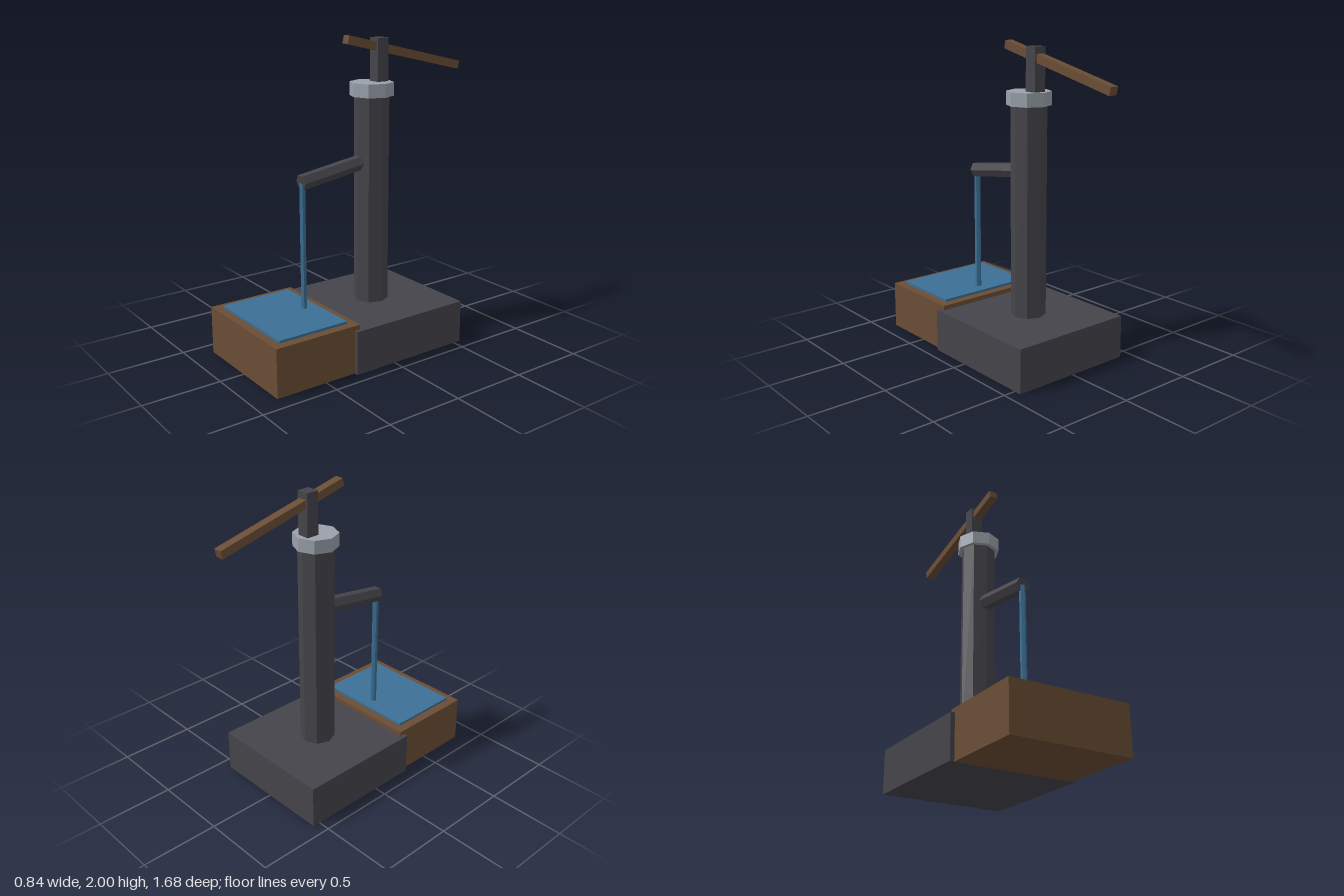
import * as THREE from 'three';

const material = (name, color) => {
  const m = new THREE.MeshStandardMaterial({ color, flatShading: true });
  m.name = name;
  return m;
};

export function createModel() {
  const iron = material('dark iron', 0x45444a);
  const steel = material('pale steel', 0x9aa1ab);
  const wood = material('brown wood', 0x6b4d35);
  const blue = material('water blue', 0x3c7096);

  const model = new THREE.Group();
  model.name = 'handPump';

  const add = (name, geometry, mat, x, y, z) => {
    const mesh = new THREE.Mesh(geometry, mat);
    mesh.name = name;
    mesh.position.set(x, y, z);
    model.add(mesh);
    return mesh;
  };
  // Box given by its width and its y and z ranges
  const block = (name, mat, w, y0, y1, z0, z1) =>
    add(name, new THREE.BoxGeometry(w, y1 - y0, z1 - z0), mat, 0, (y0 + y1) / 2, (z0 + z1) / 2);
  // Upright faceted cylinder given by its y range
  const pillar = (name, mat, r, sides, y0, y1, z) =>
    add(name, new THREE.CylinderGeometry(r, r, y1 - y0, sides), mat, 0, (y0 + y1) / 2, z);

  // Plinth, trough and water surface
  block('base', iron, 0.84, 0, 0.28, -0.55, 0.29);
  block('trough', wood, 0.785, 0, 0.31, 0.25, 0.84);
  block('water', blue, 0.67, 0.29, 0.326, 0.305, 0.785);

  // Pump body
  pillar('column', iron, 0.112, 8, 0.28, 1.62, -0.13);
  pillar('collar', steel, 0.14, 8, 1.62, 1.705, -0.13);
  block('handlePost', iron, 0.082, 1.7, 1.975, -0.23, -0.147);

  // Sloping lever through the post
  const handle = add('handle', new THREE.BoxGeometry(0.056, 0.052, 0.925), wood, 0, 1.87, -0.384);
  handle.rotation.x = -0.228;

  // Hexagonal spout running from inside the column down to its mouth
  const start = new THREE.Vector3(0, 1.213, -0.11);
  const end = new THREE.Vector3(0, 1.136, 0.405);
  const run = end.clone().sub(start);
  const spoutGeometry = new THREE.CylinderGeometry(0.05, 0.05, run.length(), 6, 1, false, Math.PI / 2);
  const mid = start.clone().add(end).multiplyScalar(0.5);
  const spout = add('spout', spoutGeometry, iron, mid.x, mid.y, mid.z);
  spout.rotation.x = Math.atan2(run.z, run.y);

  // Falling water
  pillar('stream', blue, 0.02, 6, 0.32, 1.13, 0.395);

  return model;
}
